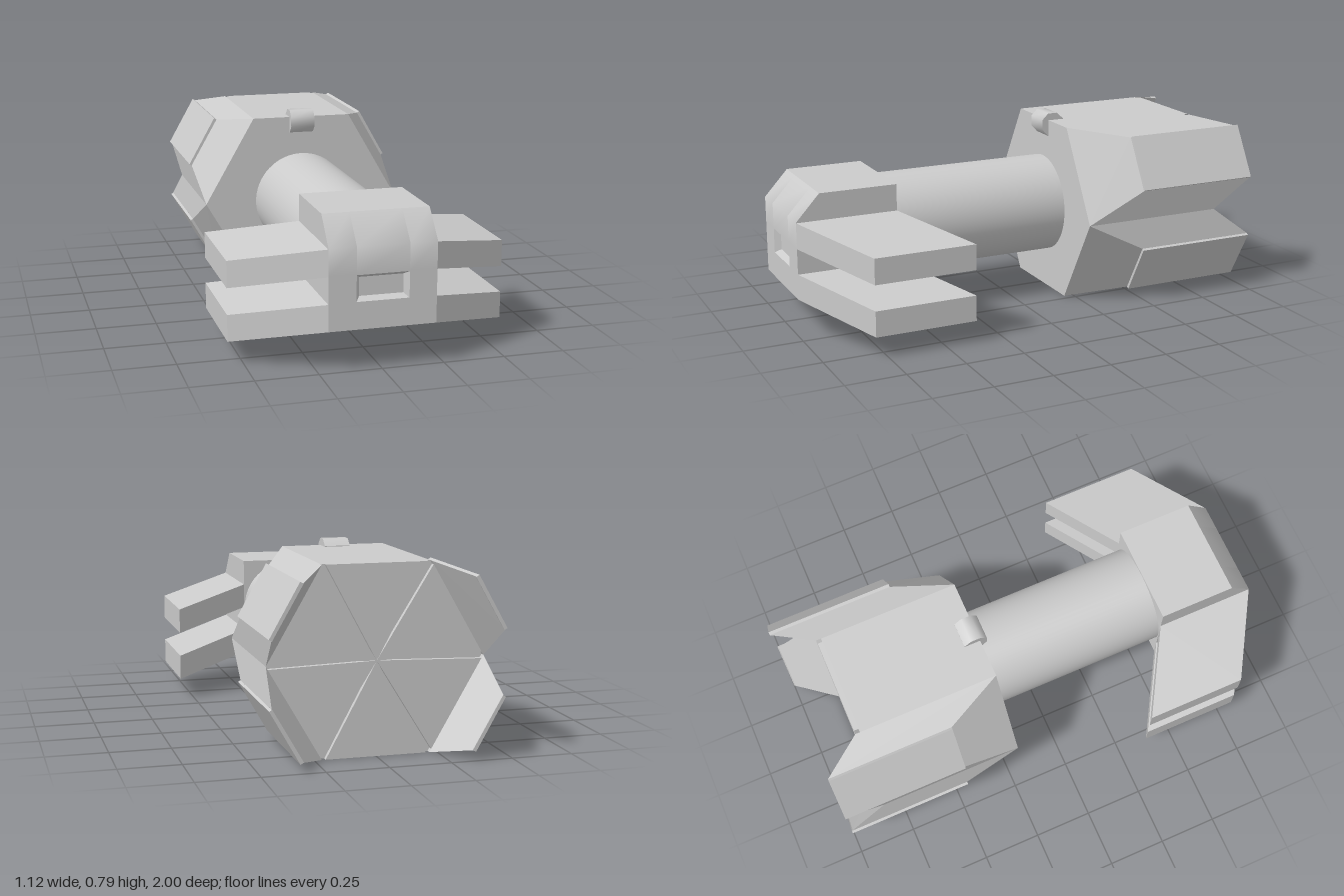
import * as THREE from 'three';
import { toCreasedNormals } from 'three/addons/utils/BufferGeometryUtils.js';
import { ConvexGeometry } from 'three/addons/geometries/ConvexGeometry.js';

const MID = 0.38; // height of the long axis

export function createModel() {
  const root = new THREE.Group();
  const grey = new THREE.MeshStandardMaterial({ color: 0xcccccc });

  const add = (name, geometry, parent = root) => {
    const mesh = new THREE.Mesh(geometry, grey);
    mesh.name = name;
    parent.add(mesh);
    return mesh;
  };
  const group = (name) => {
    const g = new THREE.Group();
    g.name = name;
    root.add(g);
    return g;
  };
  const shape = (pts) => new THREE.Shape(pts.map(([a, b]) => new THREE.Vector2(a, b)));
  const hull = (pts) => new ConvexGeometry(pts.map((p) => new THREE.Vector3(...p)));
  // Side profile of [z, y] points, swept across x from x0 to x1
  const sweepX = (pts, x0, x1) => {
    const g = new THREE.ExtrudeGeometry(shape(pts), { depth: x1 - x0, bevelEnabled: false });
    g.rotateY(-Math.PI / 2).translate(x1, 0, 0);
    return toCreasedNormals(g, 0.8);
  };
  // Outline of [x, y] points, swept from z0 to z1
  const sweepZ = (pts, z0, z1) =>
    new THREE.ExtrudeGeometry(shape(pts), { depth: z1 - z0, bevelEnabled: false }).translate(0, 0, z0);

  // Cockpit block, split into strips so the middle can hold the window recess
  const cockpit = group('cockpit');
  const upper = [[1, 0.38], [1, 0.49], [0.9, 0.6], [0.57, 0.6]];
  const lower = [[0.57, 0.165], [1, 0.165], [1, 0.275]];
  const recess = [[0.975, 0.29], [0.975, 0.365]];
  add('cockpitLeftSide', sweepX([...lower, ...upper], 0.105, 0.215), cockpit);
  add('cockpitRightSide', sweepX([...lower, ...upper], -0.215, -0.105), cockpit);
  add('cockpitMiddle', sweepX([...lower, ...recess, ...upper], -0.105, 0.105), cockpit);
  for (const s of [1, -1]) {
    add('windowBevel', hull([
      [s * 0.105, 0.38, 1], [s * 0.105, 0.275, 1],
      [s * 0.105, 0.365, 0.975], [s * 0.105, 0.29, 0.975],
      [s * 0.088, 0.365, 0.975], [s * 0.088, 0.29, 0.975],
    ]), cockpit);
  }

  // Two pairs of swept, drooping wings
  const wings = group('wings');
  for (const s of [1, -1]) {
    for (const [name, y] of [['upperWing', 0.38], ['lowerWing', 0.165]]) {
      const pts = [];
      for (const h of [0, 0.108]) {
        pts.push([s * 0.215, y + h, 1], [s * 0.215, y + h, 0.57]);
        pts.push([s * 0.56, y + h - 0.074, 0.8], [s * 0.56, y + h - 0.074, 0.37]);
      }
      add(name, hull(pts), wings);
    }
  }

  // Round neck joining cockpit and engine
  const neck = new THREE.CylinderGeometry(0.212, 0.212, 0.84, 64);
  neck.rotateX(Math.PI / 2).translate(0, MID, 0.18);
  add('neck', neck);

  // Six-sided engine body
  const engine = group('engine');
  const hex = [[0.44, MID], [0.22, 0.76], [-0.22, 0.76], [-0.44, MID], [-0.22, 0], [0.22, 0]];
  add('engineBody', sweepZ(hex, -0.81, -0.21), engine);

  // Rear plates, one per sector, leaving narrow grooves that taper to the centre
  hex.forEach((a, i) => {
    const b = hex[(i + 1) % 6];
    const mix = (t) => [a[0] + (b[0] - a[0]) * t, a[1] + (b[1] - a[1]) * t];
    add('rearPlate', sweepZ([[0, MID], mix(0.035), mix(0.965)], -0.83, -0.81), engine);
  });

  // Four flared pods on the slanted sides, each with a raised cover panel
  for (const sx of [1, -1]) {
    for (const sy of [1, -1]) {
      const at = (x, y, z) => [sx * x, MID + sy * (y - MID), z];
      add('pod', hull([
        at(0.22, 0.76, -0.21), at(0.44, MID, -0.21),
        at(0.22, 0.76, -0.83), at(0.44, MID, -0.83),
        at(0.338, 0.717, -0.46), at(0.458, 0.508, -0.46),
        at(0.338, 0.717, -1), at(0.458, 0.508, -1),
      ]), engine);
      const panel = [];
      for (const z of [-0.46, -1]) {
        panel.push(at(0.336, 0.716, z), at(0.456, 0.507, z));
        panel.push(at(0.349, 0.724, z), at(0.468, 0.514, z));
      }
      add('podPanel', hull(panel), engine);
    }
  }

  // Small hooked fitting on the front upper edge of the engine
  add('topFitting', sweepX([
    [-0.28, 0.755], [-0.24, 0.69], [-0.208, 0.69], [-0.18, 0.72],
    [-0.18, 0.763], [-0.207, 0.79], [-0.25, 0.79], [-0.28, 0.763],
  ], -0.054, 0.054));

  return root;
}
